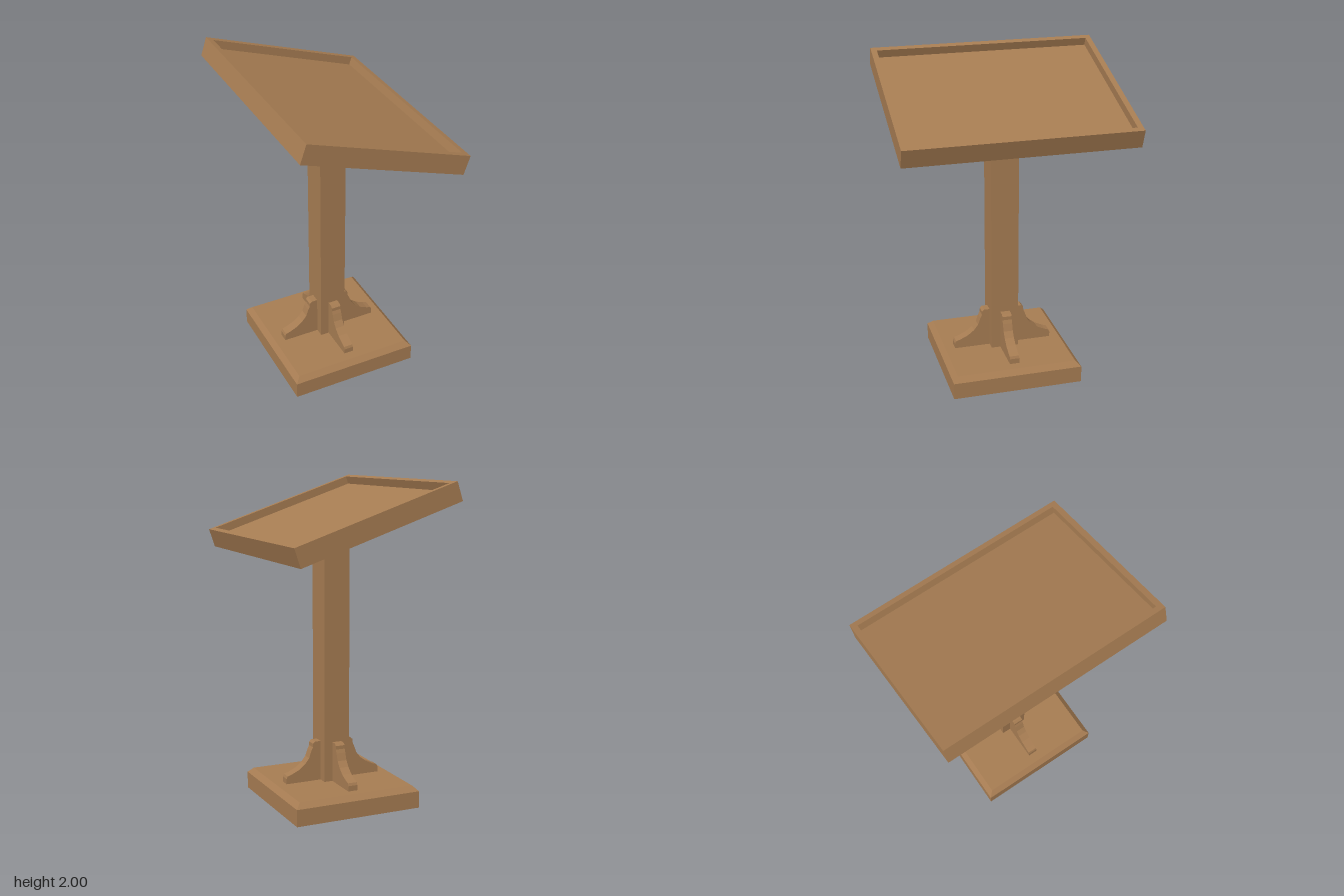
import * as THREE from 'three';

// Rectangular rings [halfX, y, halfZ] joined in order, capped at both ends
function loft(rings) {
  const pos = [];
  const corners = rings.map(([a, y, b]) => [[-a, y, b], [a, y, b], [a, y, -b], [-a, y, -b]]);
  const quad = (p, q, r, s) => pos.push(...p, ...q, ...r, ...p, ...r, ...s);
  for (let i = 0; i < corners.length - 1; i++) {
    const lo = corners[i], hi = corners[i + 1];
    for (let k = 0; k < 4; k++) {
      const n = (k + 1) % 4;
      quad(lo[k], lo[n], hi[n], hi[k]);
    }
  }
  const first = corners[0], last = corners[corners.length - 1];
  quad(first[3], first[2], first[1], first[0]);
  quad(last[0], last[1], last[2], last[3]);
  const geo = new THREE.BufferGeometry();
  geo.setAttribute('position', new THREE.Float32BufferAttribute(pos, 3));
  geo.computeVertexNormals();
  return geo;
}

export function createModel() {
  const group = new THREE.Group();
  group.name = 'lectern';
  const wood = new THREE.MeshStandardMaterial({ color: 0xa67c52 });
  wood.name = 'wood';

  const add = (name, geo, parent) => {
    const mesh = new THREE.Mesh(geo, wood);
    mesh.name = name;
    parent.add(mesh);
    return mesh;
  };

  // Stand: bevelled foot, square post and four brackets, set slightly off centre
  const stand = new THREE.Group();
  stand.name = 'stand';
  stand.position.x = -0.024;
  group.add(stand);
  add('base', loft([[0.408, 0, 0.408], [0.408, 0.105, 0.408], [0.376, 0.137, 0.376]]), stand);
  add('post', loft([[0.084, 0.13, 0.087], [0.084, 1.755, 0.087]]), stand);

  // Curved bracket profile, distance from the post axis against height
  const profile = new THREE.Shape([
    [0.07, 0.13], [0.315, 0.13], [0.315, 0.17], [0.308, 0.186], [0.28, 0.195],
    [0.23, 0.218], [0.19, 0.25], [0.163, 0.285], [0.147, 0.33], [0.137, 0.352],
    [0.136, 0.374], [0.122, 0.387], [0.07, 0.387],
  ].map(([x, y]) => new THREE.Vector2(x, y)));
  const bracketGeo = new THREE.ExtrudeGeometry(profile, { depth: 0.06, bevelEnabled: false });
  bracketGeo.translate(0, 0, -0.03);
  for (let i = 0; i < 4; i++) {
    add('bracket' + (i + 1), bracketGeo, stand).rotation.y = i * Math.PI / 2;
  }

  // Tilted top with a raised rim around a sunken reading surface
  const top = new THREE.Group();
  top.name = 'top';
  top.position.y = 1.776;
  top.rotation.z = -0.325;
  group.add(top);
  add('tray', loft([
    [0.525, -0.059, 0.7], [0.525, 0.059, 0.7], [0.49, 0.059, 0.665], [0.49, 0.009, 0.665],
  ]), top);

  // Thin mounting plate between post and tray
  const plate = add('mountingPlate', loft([[0.088, -0.008, 0.09], [0.088, 0.002, 0.125]]), top);
  plate.position.set(-0.041, -0.06, 0);

  return group;
}
